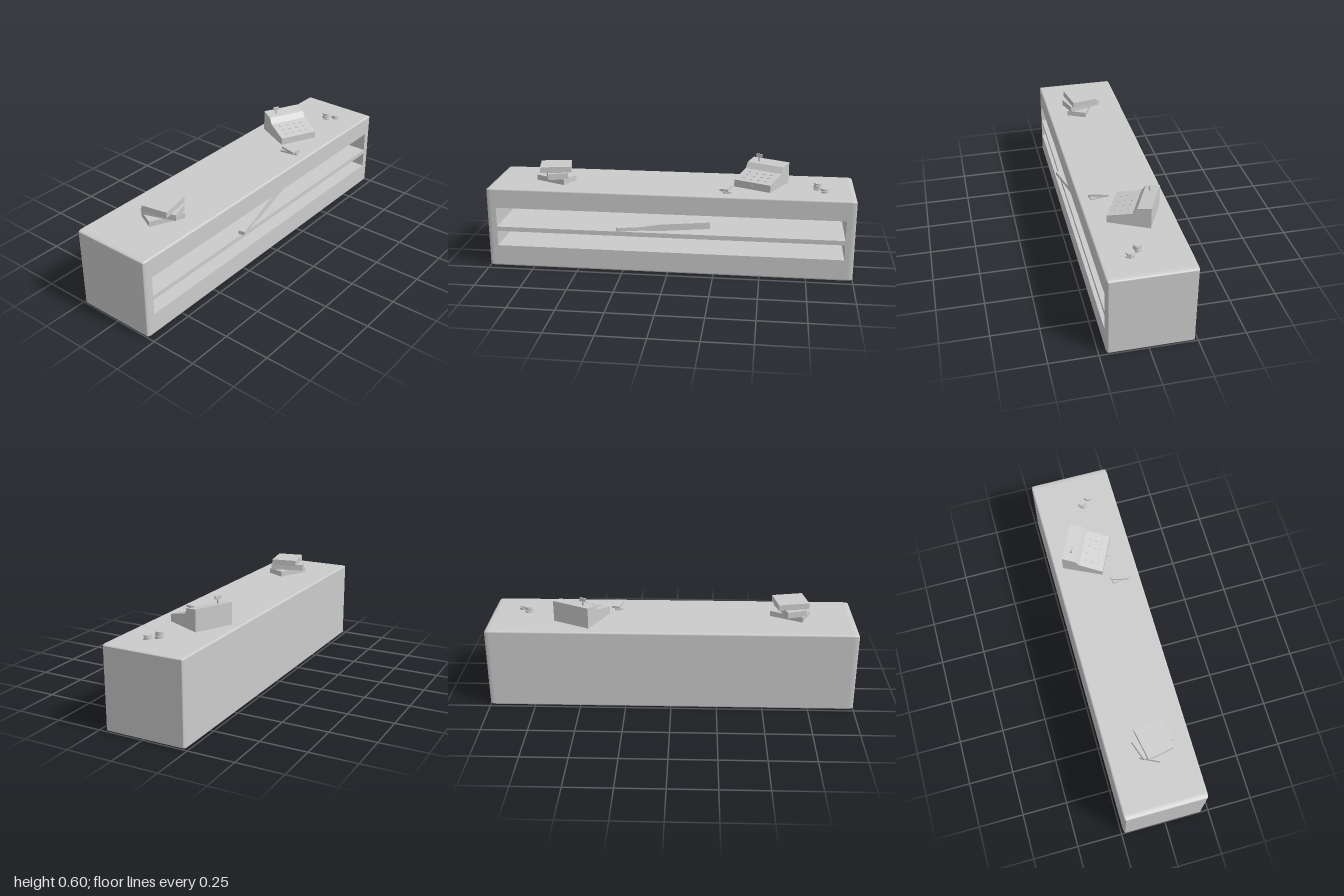
import * as THREE from 'three';
import { RoundedBoxGeometry } from 'three/addons/geometries/RoundedBoxGeometry.js';

const grey = new THREE.MeshStandardMaterial({ color: 0xcccccc });
const flat = new THREE.MeshStandardMaterial({ color: 0xcccccc, flatShading: true });
const inside = new THREE.MeshStandardMaterial({ color: 0xcccccc, flatShading: true, side: THREE.BackSide });
const TOP = 0.45, FRONT = 0.212, BACK = -0.237;

function add(parent, name, geometry, x, y, z, material = flat) {
  const mesh = new THREE.Mesh(geometry, material);
  mesh.name = name;
  mesh.position.set(x, y, z);
  parent.add(mesh);
  return mesh;
}

// box resting on height y, turned about the vertical
function slab(parent, name, w, h, d, x, y, z, turn = 0) {
  const mesh = add(parent, name, new THREE.BoxGeometry(w, h, d), x, y + h / 2, z);
  mesh.rotation.y = turn;
  return mesh;
}

function rectPath(PathType, x0, y0, x1, y1) {
  return new PathType([[x0, y0], [x1, y0], [x1, y1], [x0, y1]].map(p => new THREE.Vector2(...p)));
}

function group(parent, name, x, y, z, turn = 0) {
  const g = new THREE.Group();
  g.name = name;
  g.position.set(x, y, z);
  g.rotation.y = turn;
  parent.add(g);
  return g;
}

function buildCounter(root) {
  const counter = group(root, 'counter', 0, 0, 0);
  const depth = FRONT - BACK, stretch = 3, r = 0.01;

  // rounded shell with its flat front removed
  const shell = new RoundedBoxGeometry(2 / stretch, TOP, depth, 3, r);
  shell.scale(stretch, 1, 1);
  const pos = shell.attributes.position, keep = [];
  for (let i = 0; i < pos.count; i += 3) {
    const isFront = [0, 1, 2].every(k => pos.getZ(i + k) > depth / 2 - 1e-5);
    if (!isFront) keep.push(i, i + 1, i + 2);
  }
  shell.setIndex(keep);
  shell.clearGroups();
  add(counter, 'counterShell', shell, 0, TOP / 2, (FRONT + BACK) / 2, grey);

  // front panel with two long shelf openings
  const panel = rectPath(THREE.Shape, -1 + r * stretch, r, 1 - r * stretch, TOP - r);
  const slotDepth = 0.35;
  for (const [y0, y1] of [[0.12, 0.205], [0.23, 0.34]]) {
    panel.holes.push(rectPath(THREE.Path, -0.95, y0, 0.95, y1));
    const liner = new THREE.BoxGeometry(1.9, y1 - y0, slotDepth);
    const index = Array.from(liner.index.array);
    index.splice(24, 6); // leave the front open
    liner.setIndex(index);
    liner.clearGroups();
    add(counter, 'shelfRecess', liner, 0, (y0 + y1) / 2, FRONT - slotDepth / 2, inside);
  }
  add(counter, 'frontPanel', new THREE.ShapeGeometry(panel), 0, 0, FRONT);
}

// tapered bat lying on the upper shelf, handle sticking out
function buildBat(root) {
  const outline = new THREE.Shape([
    [-0.257, 0.007], [-0.12, 0.007], [-0.03, 0], [0.257, 0],
    [0.257, 0.037], [-0.02, 0.037], [-0.12, 0.027], [-0.257, 0.027],
  ].map(p => new THREE.Vector2(...p)));
  const geometry = new THREE.ExtrudeGeometry(outline, { depth: 0.034, bevelEnabled: false });
  geometry.translate(0, 0, -0.017);
  add(root, 'bat', geometry, -0.03, 0.231, 0.157).rotation.y = 0.24;
}

function buildRegister(root) {
  const reg = group(root, 'cashRegister', 0.494, TOP, -0.038, -0.452);
  const width = 0.22;
  const profile = new THREE.Shape([
    [0.113, 0], [0.113, 0.04], [-0.018, 0.073], [-0.04, 0.105], [-0.113, 0.117], [-0.113, 0],
  ].map(p => new THREE.Vector2(...p)));
  const body = new THREE.ExtrudeGeometry(profile, { depth: width, bevelEnabled: false });
  body.translate(0, 0, -width / 2);
  body.rotateY(-Math.PI / 2);
  add(reg, 'registerBody', body, 0, 0, 0);

  // keys on the sloping face
  const tilt = Math.atan2(0.033, 0.131);
  for (let row = 0; row < 3; row++) {
    for (let col = 0; col < 4; col++) {
      const z = 0.08 - row * 0.034;
      const y = 0.04 + (0.113 - z) * Math.tan(tilt);
      const key = add(reg, 'key', new THREE.BoxGeometry(0.014, 0.006, 0.009), -0.066 + col * 0.044, y, z);
      key.rotation.x = tilt;
    }
  }

  // drawer knob and price flag
  const knob = add(reg, 'drawerKnob', new THREE.CylinderGeometry(0.006, 0.004, 0.012, 8), 0, 0.02, 0.118);
  knob.rotation.x = Math.PI / 2;
  slab(reg, 'flagStem', 0.007, 0.024, 0.006, -0.055, 0.109, -0.07);
  slab(reg, 'priceFlag', 0.035, 0.018, 0.008, -0.055, 0.133, -0.07);
}

function buildBooks(root) {
  const stack = group(root, 'bookStack', -0.65, TOP, 0.012);
  slab(stack, 'bottomBook', 0.19, 0.03, 0.11, 0, 0, 0, -0.45);
  slab(stack, 'middleBook', 0.11, 0.034, 0.19, 0, 0.03, 0, 0.33);
  slab(stack, 'topBook', 0.17, 0.033, 0.145, 0, 0.064, 0.004, 0.19);
}

function buildMoney(root) {
  // two crossed bundles of notes
  const notes = group(root, 'noteBundles', 0.307, TOP, 0.104);
  slab(notes, 'noteBundle', 0.045, 0.011, 0.1, 0, 0, 0, 0.2);
  slab(notes, 'noteBundle', 0.045, 0.013, 0.095, 0, 0.011, 0, -0.22);

  // untidy coin piles
  for (const [x, z, count] of [[0.797, 0.018, 5], [0.835, 0.06, 3]]) {
    const pile = group(root, 'coinPile', x, TOP, z);
    for (let i = 0; i < count; i++) {
      const coin = new THREE.CylinderGeometry(0.021, 0.021, 0.0072, 16);
      add(pile, 'coin', coin, 0.003 * Math.sin(i * 2.3), 0.0036 + i * 0.0074, 0.004 * Math.cos(i * 2.6), flat);
    }
  }
}

export function createModel() {
  const root = new THREE.Group();
  root.name = 'shopCounter';
  buildCounter(root);
  buildBat(root);
  buildRegister(root);
  buildBooks(root);
  buildMoney(root);
  return root;
}
